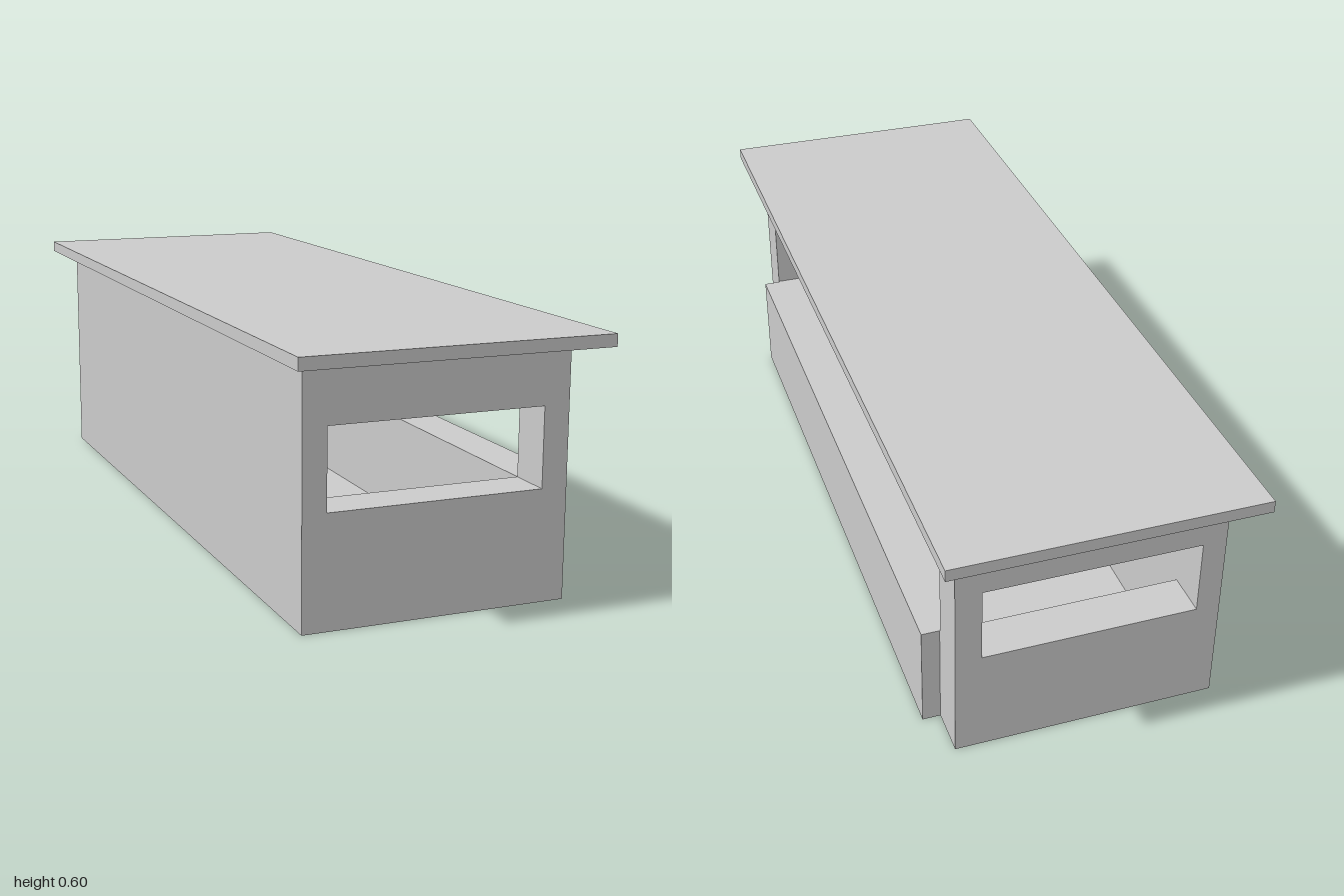
import * as THREE from 'three';

export function createModel() {
  const group = new THREE.Group();
  const mat = new THREE.MeshStandardMaterial({ color: 0xcccccc, flatShading: true });
  const left = 0.305, right = -0.308, innerLeft = 0.245, innerRight = -0.253;
  const end = 0.905, innerEnd = 0.8;
  const top = 0.572, sill = 0.255, head = 0.436;

  const add = (name, geometry) => {
    const mesh = new THREE.Mesh(geometry, mat);
    mesh.name = name;
    group.add(mesh);
    return mesh;
  };
  // Box given by its minimum and maximum corners
  const block = (name, [x0, y0, z0], [x1, y1, z1]) =>
    add(name, new THREE.BoxGeometry(x1 - x0, y1 - y0, z1 - z0))
      .position.set((x0 + x1) / 2, (y0 + y1) / 2, (z0 + z1) / 2);

  const rectangle = (Type, u0, v0, u1, v1) => {
    const path = new Type();
    path.moveTo(u0, v0);
    path.lineTo(u1, v0);
    path.lineTo(u1, v1);
    path.lineTo(u0, v1);
    path.closePath();
    return path;
  };

  // Thick end walls, each with a window as wide as the interior
  const endShape = rectangle(THREE.Shape, right, 0, left, top);
  endShape.holes.push(rectangle(THREE.Path, innerRight, sill, innerLeft, head));
  for (const [name, z] of [['frontWall', innerEnd], ['backWall', -end]]) {
    add(name, new THREE.ExtrudeGeometry(endShape, { depth: end - innerEnd, bevelEnabled: false }))
      .position.z = z;
  }

  // Long walls: closed on one side, sill and lintel around the serving opening on the other
  block('closedSideWall', [right, 0, -innerEnd], [innerRight, top, innerEnd]);
  block('openingSill', [innerLeft, 0, -innerEnd], [left, sill, innerEnd]);
  block('openingLintel', [innerLeft, head, -innerEnd], [left, top, innerEnd]);

  // Floor, outer counter and overhanging roof
  block('floor', [innerRight, 0, -innerEnd], [innerLeft, 0.01, innerEnd]);
  block('counter', [left, 0, -0.797], [0.347, sill, 0.797]);
  block('roof', [-0.355, top, -1], [0.355, 0.6, 1]);

  return group;
}
